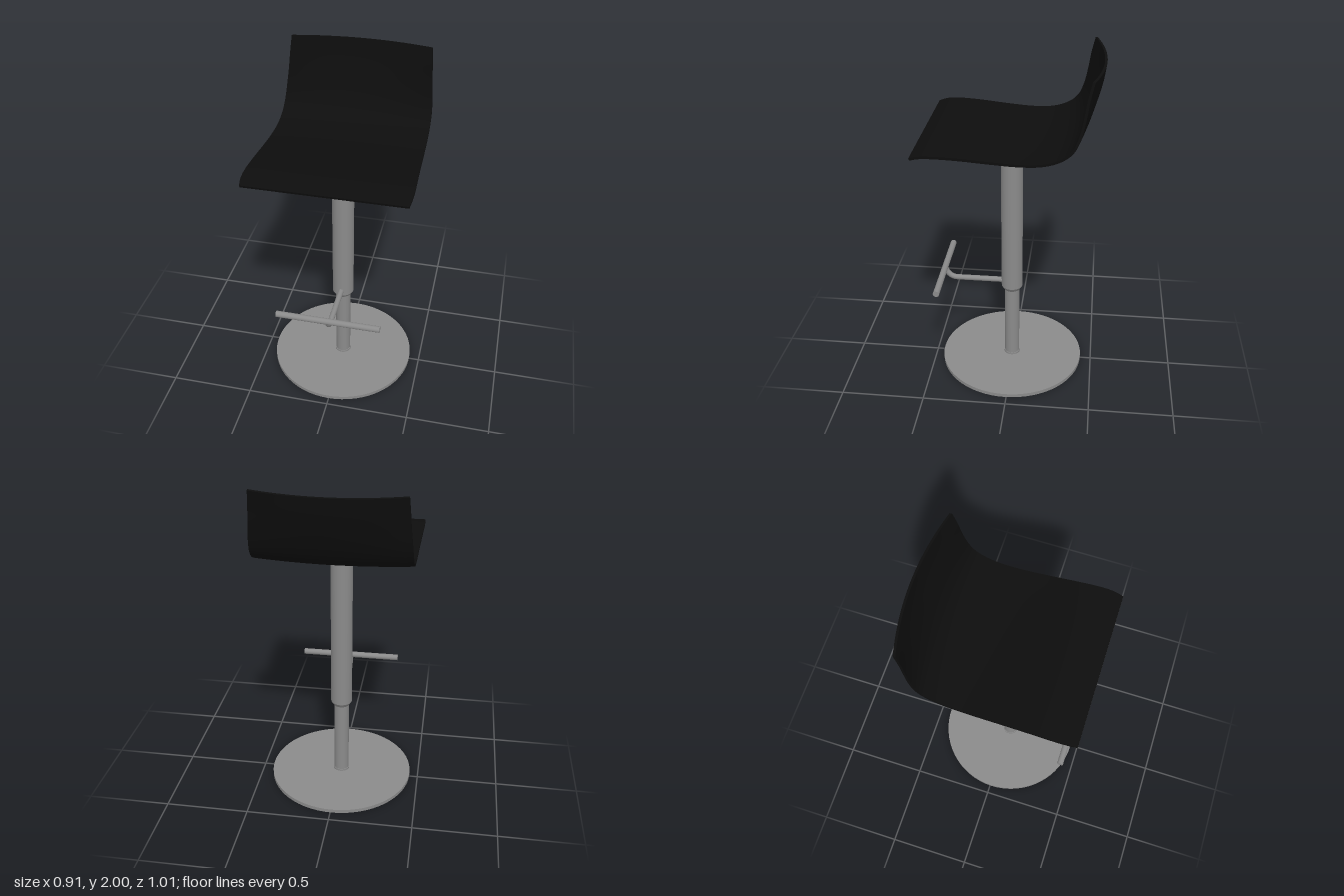
import * as THREE from 'three';

const V = (x, y, z) => new THREE.Vector3(x, y, z);

export function createModel() {
  const model = new THREE.Group();
  const black = new THREE.MeshStandardMaterial({ color: 0x0d0d0d });
  black.name = 'black shell';
  const grey = new THREE.MeshStandardMaterial({ color: 0x8a8a8a });
  grey.name = 'grey metal';

  const add = (name, geometry, material, x = 0, y = 0, z = 0) => {
    const mesh = new THREE.Mesh(geometry, material);
    mesh.name = name;
    mesh.position.set(x, y, z);
    model.add(mesh);
    return mesh;
  };

  // Seat shell: profiles of the centre line and the side edge, front to back.
  // In the edge profile x is the half width.
  const centre = new THREE.CatmullRomCurve3([
    V(0, 1.559, 0.505), V(0, 1.572, 0.46), V(0, 1.577, 0.39), V(0, 1.57, 0.25),
    V(0, 1.552, 0.08), V(0, 1.538, -0.08), V(0, 1.541, -0.2), V(0, 1.568, -0.3),
    V(0, 1.618, -0.37), V(0, 1.7, -0.42), V(0, 1.82, -0.463), V(0, 1.9, -0.485), V(0, 1.993, -0.499),
  ]);
  const edge = new THREE.CatmullRomCurve3([
    V(0.445, 1.559, 0.505), V(0.452, 1.572, 0.46), V(0.455, 1.577, 0.39), V(0.451, 1.571, 0.25),
    V(0.445, 1.556, 0.08), V(0.441, 1.546, -0.08), V(0.439, 1.553, -0.2), V(0.438, 1.583, -0.29),
    V(0.437, 1.632, -0.35), V(0.432, 1.71, -0.385), V(0.422, 1.82, -0.408), V(0.416, 1.9, -0.42), V(0.408, 1.999, -0.442),
  ]);
  const thickness = 0.014;
  const shell = new THREE.BoxGeometry(2, 1, 1, 20, 1, 48);
  const pos = shell.attributes.position;
  for (let i = 0; i < pos.count; i++) {
    const s = pos.getX(i);
    const t = THREE.MathUtils.clamp(0.5 - pos.getZ(i), 0, 1);
    const p = centre.getPoint(t).lerp(edge.getPoint(t), s * s);
    const d = centre.getTangent(t).lerp(edge.getTangent(t), s * s).setX(0).normalize();
    const h = pos.getY(i) * thickness;
    pos.setXYZ(i, s * edge.getPoint(t).x, p.y - d.z * h, p.z + d.y * h);
  }
  shell.computeVertexNormals();
  add('seatShell', shell, black);

  // Base plate and telescopic post
  const px = -0.005, pz = 0.01;
  add('basePlate', new THREE.CylinderGeometry(0.443, 0.443, 0.022, 64), grey, px, 0.011, pz);
  add('postCollar', new THREE.CylinderGeometry(0.05, 0.05, 0.012, 32), grey, px, 0.028, pz);
  add('lowerPost', new THREE.CylinderGeometry(0.046, 0.046, 0.5, 32), grey, px, 0.27, pz);
  add('upperPost', new THREE.CylinderGeometry(0.065, 0.065, 1.0, 32), grey, px, 1.03, pz);
  add('postTaper', new THREE.CylinderGeometry(0.065, 0.049, 0.025, 32), grey, px, 0.5175, pz);

  // Footrest: arm curving up to a crossbar
  const arm = new THREE.CurvePath();
  arm.add(new THREE.LineCurve3(V(px, 0.563, 0.05), V(px, 0.563, 0.35)));
  arm.add(new THREE.CubicBezierCurve3(V(px, 0.563, 0.35), V(px, 0.563, 0.395), V(px, 0.59, 0.415), V(px, 0.628, 0.429)));
  add('footrestArm', new THREE.TubeGeometry(arm, 40, 0.017, 16), grey);
  add('footrestBar', new THREE.CylinderGeometry(0.019, 0.019, 0.622, 20), grey, px, 0.63, 0.43).rotation.z = Math.PI / 2;

  return model;
}
